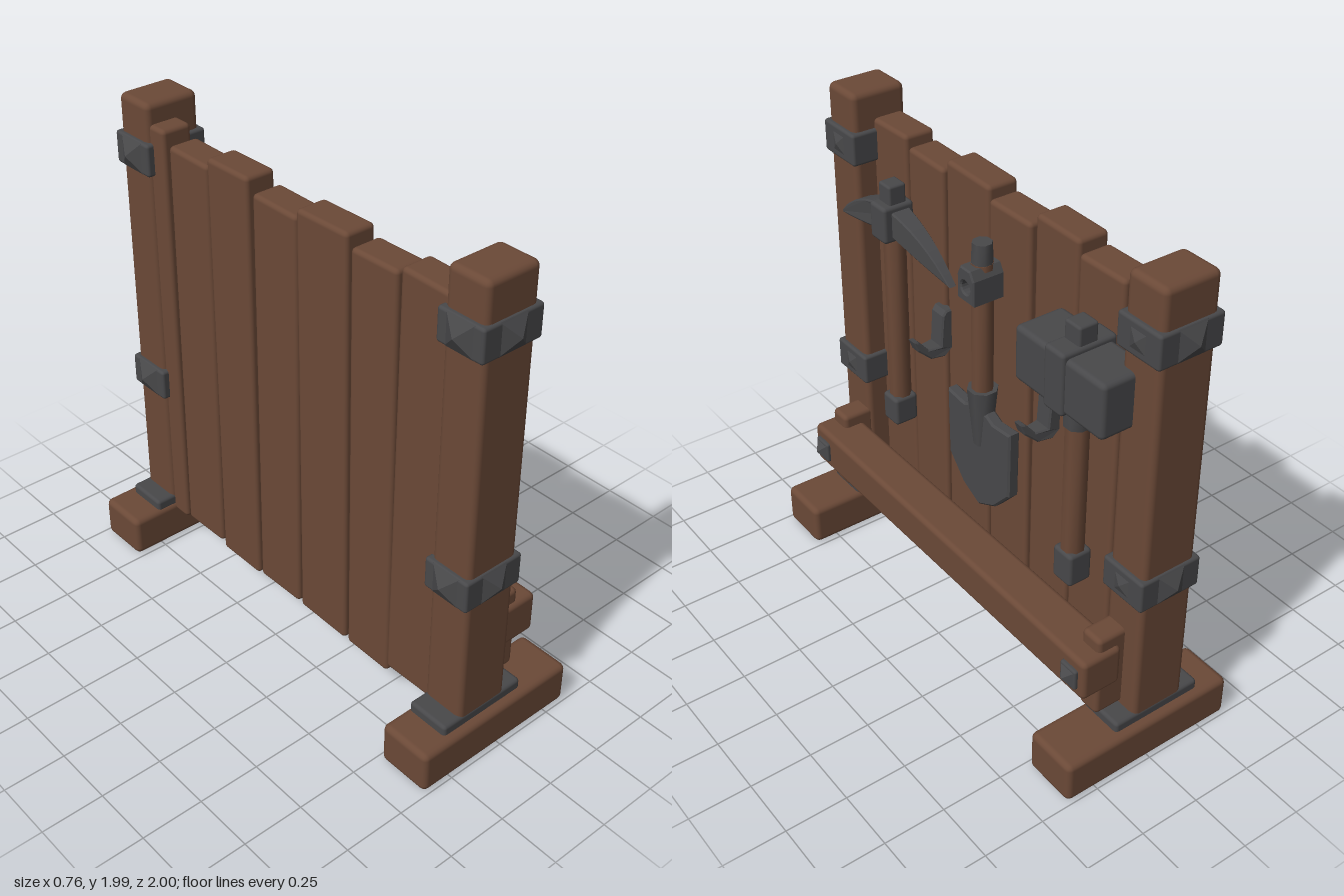
import * as THREE from 'three';
import { RoundedBoxGeometry } from 'three/addons/geometries/RoundedBoxGeometry.js';
import { toCreasedNormals } from 'three/addons/utils/BufferGeometryUtils.js';

const wood = new THREE.MeshStandardMaterial({ color: 0x6b4937 });
wood.name = 'brown wood';
const iron = new THREE.MeshStandardMaterial({ color: 0x48484a });
iron.name = 'dark iron';

function add(parent, name, geometry, material) {
  const mesh = new THREE.Mesh(geometry, material);
  mesh.name = name;
  parent.add(mesh);
  return mesh;
}

function group(parent, name) {
  const g = new THREE.Group();
  g.name = name;
  parent.add(g);
  return g;
}

// Soft-edged block given by its extents on each axis
function block(parent, name, material, [x0, x1], [y0, y1], [z0, z1], r = 0.015) {
  const geo = new RoundedBoxGeometry(x1 - x0, y1 - y0, z1 - z0, 2, r);
  geo.translate((x0 + x1) / 2, (y0 + y1) / 2, (z0 + z1) / 2);
  return add(parent, name, geo, material);
}

// Upright eight-sided rod
function rod(parent, name, material, x, z, y0, y1, r0, r1 = r0) {
  const geo = toCreasedNormals(new THREE.CylinderGeometry(r1, r0, y1 - y0, 8), 0.9);
  geo.rotateY(Math.PI / 8);
  geo.translate(x, (y0 + y1) / 2, z);
  return add(parent, name, geo, material);
}

// Outline drawn as [z, y], given thickness along x
function slab(shape, x, depth, bevel = 0.008) {
  const geo = new THREE.ExtrudeGeometry(shape, {
    depth: depth - 2 * bevel, bevelThickness: bevel, bevelSize: bevel,
    bevelOffset: -bevel, bevelSegments: 1, curveSegments: 8,
  });
  geo.rotateY(Math.PI / 2);
  geo.translate(x + bevel, 0, 0);
  return geo;
}
const outline = pts => new THREE.Shape(pts.map(([z, y]) => new THREE.Vector2(-z, y)));

// Four-sided stud pointing along a direction
function stud(parent, x, y, z, dir, size, height) {
  const geo = new THREE.ConeGeometry(size * Math.SQRT1_2, height, 4).toNonIndexed();
  geo.computeVertexNormals();
  geo.rotateY(Math.PI / 4);
  geo.translate(0, height / 2, 0);
  const mesh = add(parent, 'stud', geo, iron);
  mesh.quaternion.setFromUnitVectors(new THREE.Vector3(0, 1, 0), dir);
  mesh.position.set(x, y, z);
}

// Post with foot, collar, iron bands and beam bracket; s is the side along z
function buildPost(root, s) {
  const g = group(root, s > 0 ? 'frontPost' : 'backPost');
  const span = (a, b) => (s > 0 ? [a, b] : [-b, -a]);
  block(g, 'post', wood, [-0.18, 0.053], [0.14, 1.99], span(0.775, 0.953), 0.025);
  block(g, 'foot', wood, [-0.38, s > 0 ? 0.355 : 0.38], [0, 0.175], span(0.765, 0.99), 0.025);
  block(g, 'collar', iron, [-0.255, 0.135], [0.16, 0.215], span(0.775, 0.955));
  for (const y of [0.785, 1.775]) {
    block(g, 'band', iron, [-0.198, 0.07], [y - 0.065, y + 0.065], span(0.76, 0.964), 0.012);
    stud(g, -0.064, y, s * 0.96, new THREE.Vector3(0, 0, s), 0.125, 0.04);
    stud(g, -0.195, y, s * 0.862, new THREE.Vector3(-1, 0, 0), 0.125, 0.035);
    stud(g, 0.065, y, s * 0.862, new THREE.Vector3(1, 0, 0), 0.1, 0.018);
  }
  block(g, 'bracket', wood, [0.03, 0.17], [0.22, 0.58], span(0.78, 0.878), 0.02);
  block(g, 'bolt', iron, [0.23, 0.265], [0.39, 0.48], span(0.78, 0.865), 0.01);
  stud(g, 0.262, 0.435, s * 0.822, new THREE.Vector3(1, 0, 0), 0.075, 0.03);
}

// Vertical planks: z edges, bottom, top, and z lean of the lower end
function buildPlanks(root) {
  const g = group(root, 'planks');
  [
    [0.56, 0.79, 0.18, 1.88, -0.006], [0.325, 0.548, 0.14, 1.85, 0.004],
    [0.057, 0.315, 0.15, 1.89, 0.005], [-0.193, 0.043, 0.145, 1.85, -0.003],
    [-0.437, -0.207, 0.14, 1.9, 0.003], [-0.68, -0.45, 0.15, 1.86, -0.004],
    [-0.79, -0.694, 0.14, 1.91, 0.003],
  ].forEach(([z0, z1, y0, y1, lean], i) => {
    const dx = (i % 2) * 0.006;
    const m = block(g, 'plank', wood, [-0.168 + dx, -0.038 + dx], [y0, y1], [z0, z1], 0.018);
    const p = m.geometry.attributes.position;
    for (let k = 0; k < p.count; k++) {
      const t = (p.getY(k) - 1) / 0.9;
      p.setZ(k, p.getZ(k) - lean * t);
      p.setY(k, p.getY(k) + lean * 4 * (p.getZ(k) - (z0 + z1) / 2) * t);
    }
  });
}

function buildPickaxe(root) {
  const g = group(root, 'pickaxe'), x = 0.035, z = 0.55;
  rod(g, 'handle', wood, x, z, 0.7, 1.6, 0.044);
  block(g, 'buttCap', iron, [x - 0.05, x + 0.055], [0.665, 0.79], [z - 0.048, z + 0.048]);
  block(g, 'headSocket', iron, [x - 0.06, x + 0.075], [1.505, 1.655], [z - 0.05, z + 0.05]);
  block(g, 'handleTip', iron, [x - 0.035, x + 0.04], [1.63, 1.73], [z - 0.037, z + 0.037], 0.01);
  const head = new THREE.Shape();
  head.moveTo(-0.912, 1.46);
  head.quadraticCurveTo(-0.76, 1.62, -0.55, 1.64);
  head.quadraticCurveTo(-0.32, 1.61, -0.17, 1.46);
  head.quadraticCurveTo(-0.34, 1.485, -0.5, 1.525);
  head.lineTo(-0.6, 1.525);
  head.quadraticCurveTo(-0.73, 1.49, -0.912, 1.46);
  const geo = slab(head, x - 0.045, 0.09, 0.006);
  const p = geo.attributes.position;
  // Blades thin out toward their tips
  for (let k = 0; k < p.count; k++) {
    const f = 1 - 0.65 * Math.min(1, Math.abs(p.getZ(k) - z) / 0.37);
    p.setX(k, x + (p.getX(k) - x) * f);
  }
  geo.computeVertexNormals();
  add(g, 'pickHead', geo, iron);
}

function buildShovel(root) {
  const g = group(root, 'shovel'), x = 0.025, z = 0.003;
  rod(g, 'handle', wood, x, z, 1.05, 1.64, 0.042);
  rod(g, 'gripEnd', iron, x, z, 1.61, 1.72, 0.042, 0.038);
  rod(g, 'socket', iron, x, z, 0.86, 1.11, 0.036, 0.06);
  add(g, 'blade', slab(outline([
    [0.195, 1.01], [0.09, 1.0], [0.05, 1.02], [-0.05, 1.02], [-0.09, 1.0], [-0.195, 1.01],
    [-0.19, 0.72], [-0.1, 0.62], [0, 0.57], [0.1, 0.62], [0.19, 0.72],
  ]), 0, 0.05), iron);
  // Wall clasp around the grip
  const clasp = outline([[0.052, 1.5], [-0.045, 1.5], [-0.045, 1.6], [-0.025, 1.635], [0.035, 1.635], [0.052, 1.6]]);
  clasp.holes.push(new THREE.Path().absarc(-z, 1.56, 0.026, 0, Math.PI * 2, true));
  add(g, 'clasp', slab(clasp, -0.04, 0.14, 0.006), iron);
}

function buildHammer(root) {
  const g = group(root, 'hammer'), x = 0.08, z = -0.608;
  rod(g, 'handle', wood, x, z, 0.7, 1.4, 0.045);
  block(g, 'buttCap', iron, [x - 0.05, x + 0.05], [0.65, 0.79], [z - 0.05, z + 0.05]);
  rod(g, 'neck', iron, x, z, 1.32, 1.44, 0.05, 0.055);
  block(g, 'headBlock', iron, [-0.02, 0.182], [1.425, 1.64], [-0.845, -0.387], 0.02);
  block(g, 'headBand', iron, [-0.035, 0.195], [1.418, 1.66], [z - 0.05, z + 0.05]);
  block(g, 'handleTip', iron, [x - 0.04, x + 0.04], [1.62, 1.73], [z - 0.04, z + 0.04], 0.01);
}

// Wall hook: back plate, arm and upturned tip
function buildHook(root, z) {
  const s = new THREE.Shape([
    [-0.045, 1.11], [-0.01, 1.08], [0.05, 1.085], [0.105, 1.135], [0.122, 1.18], [0.1, 1.175],
    [0.06, 1.13], [0.01, 1.13], [0.0, 1.26], [-0.015, 1.28], [-0.045, 1.28],
  ].map(([a, b]) => new THREE.Vector2(a, b)));
  const geo = new THREE.ExtrudeGeometry(s, {
    depth: 0.066, bevelThickness: 0.006, bevelSize: 0.006, bevelOffset: -0.006, bevelSegments: 1,
  });
  const p = geo.attributes.position;
  // Arm narrows toward the tip
  for (let k = 0; k < p.count; k++) {
    const f = 1 - 0.5 * Math.max(0, p.getX(k)) / 0.12;
    p.setZ(k, z + (p.getZ(k) - 0.033) * f);
  }
  geo.computeVertexNormals();
  add(root, 'hook', geo, iron);
}

export function createModel() {
  const root = new THREE.Group();
  root.name = 'toolRack';
  buildPost(root, 1);
  buildPost(root, -1);
  buildPlanks(root);
  block(root, 'crossBeam', wood, [0.075, 0.25], [0.35, 0.525], [-0.895, 0.895], 0.022);
  buildPickaxe(root);
  buildShovel(root);
  buildHammer(root);
  buildHook(root, 0.327);
  buildHook(root, -0.333);
  return root;
}
